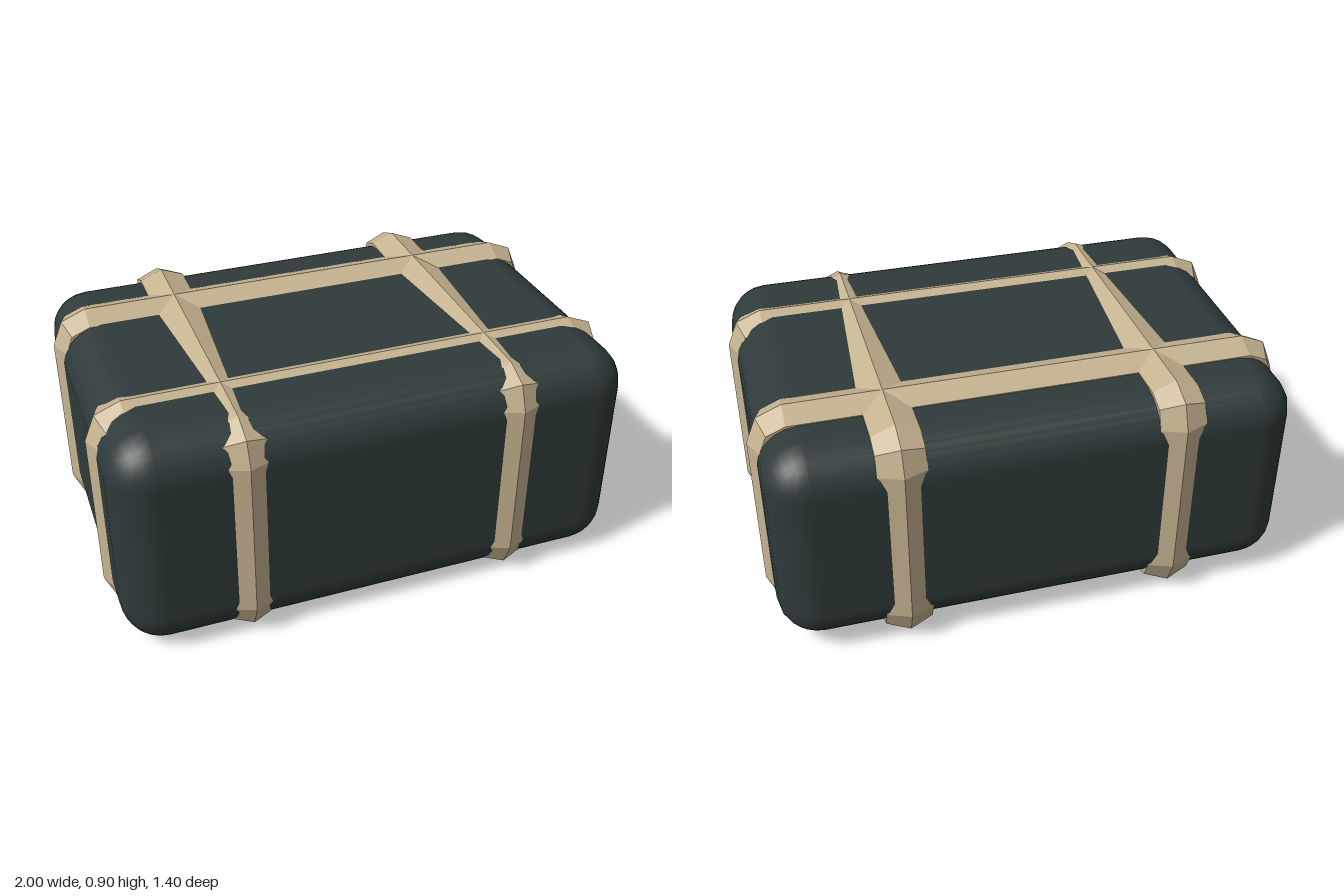
import * as THREE from 'three';
import { RoundedBoxGeometry } from 'three/addons/geometries/RoundedBoxGeometry.js';

const HALF_H = 0.45;

// Closed rounded-rectangle outline, two facets per corner, counter-clockwise
function outline(a, b, r) {
  const pts = [];
  [[1, 1], [-1, 1], [-1, -1], [1, -1]].forEach(([sx, sy], q) => {
    for (let k = 0; k <= 2; k++) {
      const t = (q + k / 2) * Math.PI / 2;
      pts.push([sx * (a - r) + r * Math.cos(t), sy * (b - r) + r * Math.sin(t)]);
    }
  });
  return pts;
}

// Strap loop with a shallow ridge, swept round the outline
function strapGeometry(halfLength) {
  const section = [[-0.088, 0.11], [-0.088, 0.035], [0, 0], [0.088, 0.035], [0.088, 0.11]]; // [across, inset]
  const rings = section.map(([w, d]) =>
    outline(halfLength - d, HALF_H - d, 0.135 - d).map(([u, v]) => [u, v, w]));
  const pos = [];
  const n = rings[0].length;
  for (let j = 0; j < section.length - 1; j++) {
    for (let i = 0; i < n; i++) {
      const k = (i + 1) % n;
      const a = rings[j][i], b = rings[j][k], c = rings[j + 1][k], d = rings[j + 1][i];
      pos.push(...a, ...b, ...c, ...a, ...c, ...d);
    }
  }
  const g = new THREE.BufferGeometry();
  g.setAttribute('position', new THREE.Float32BufferAttribute(pos, 3));
  g.computeVertexNormals();
  return g;
}

export function createModel() {
  const group = new THREE.Group();
  group.name = 'strappedCase';
  const shell = new THREE.MeshStandardMaterial({ color: 0x2f3a3a });
  shell.name = 'dark slate';
  const webbing = new THREE.MeshStandardMaterial({ color: 0xc6b491, flatShading: true });
  webbing.name = 'tan strap';

  // Rounded body, slightly lower towards the back
  const bodyGeo = new RoundedBoxGeometry(1.952, 0.85, 1.354, 3, 0.155);
  const p = bodyGeo.attributes.position;
  for (let i = 0; i < p.count; i++) {
    p.setY(i, p.getY(i) * (0.4252 + 0.031 * p.getZ(i)) / 0.425);
  }
  const body = new THREE.Mesh(bodyGeo, shell);
  body.name = 'body';
  body.position.y = HALF_H;
  group.add(body);

  // Two straps along the length, two across it
  const longGeo = strapGeometry(1);
  const crossGeo = strapGeometry(0.7).rotateY(Math.PI / 2);
  for (const s of [-1, 1]) {
    const long = new THREE.Mesh(longGeo, webbing);
    long.name = s > 0 ? 'frontLongStrap' : 'backLongStrap';
    long.position.set(0, HALF_H, s * 0.34);
    const cross = new THREE.Mesh(crossGeo, webbing);
    cross.name = s > 0 ? 'leftCrossStrap' : 'rightCrossStrap';
    cross.position.set(s * 0.51, HALF_H, 0);
    group.add(long, cross);
  }
  return group;
}
